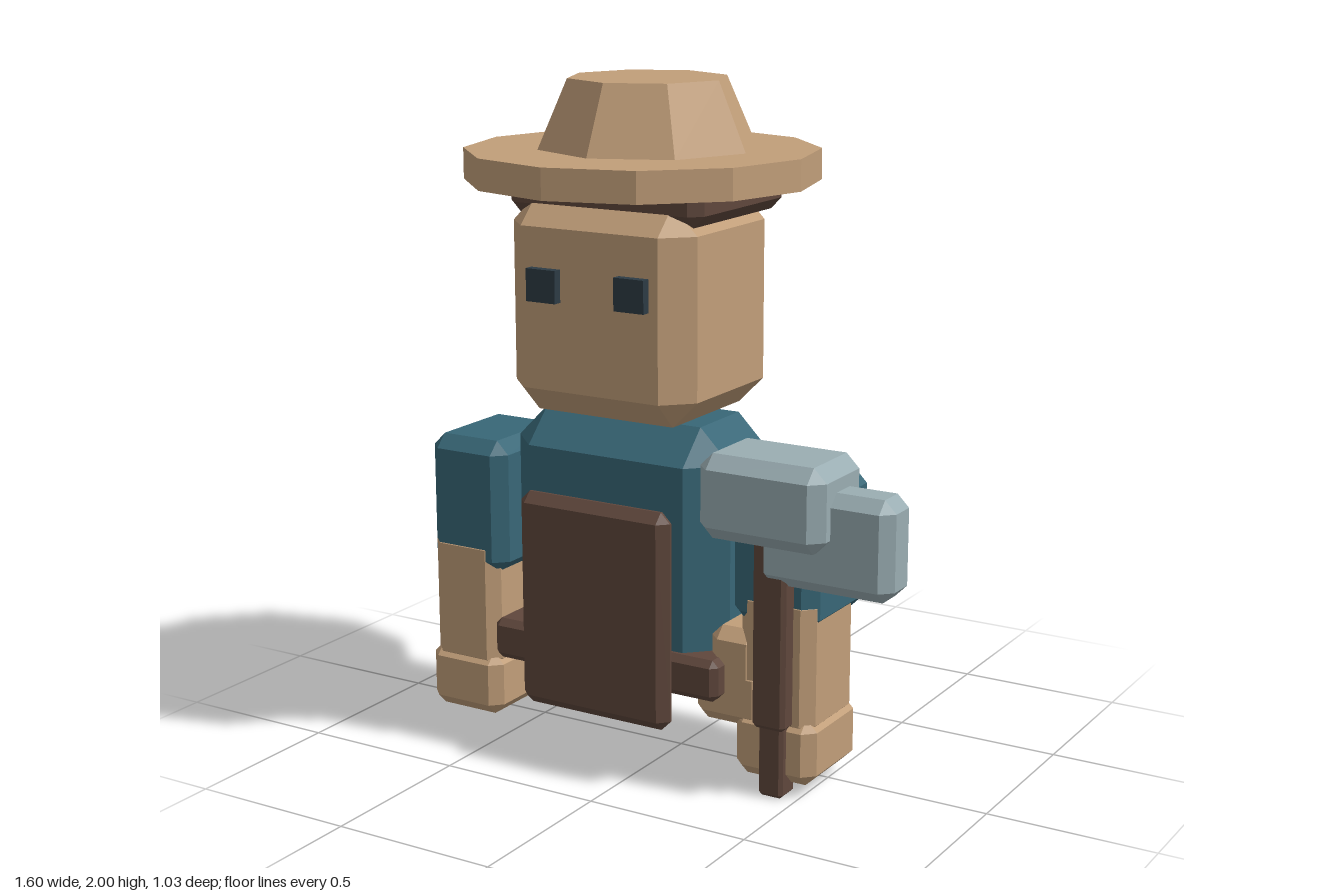
import * as THREE from 'three';
import { ConvexGeometry } from 'three/addons/geometries/ConvexGeometry.js';

const mat = (name, color) => {
  const m = new THREE.MeshStandardMaterial({ color });
  m.name = name;
  return m;
};

// Box with every edge chamfered by b, given as [min, max] ranges
function chamferBox(xr, yr, zr, b) {
  const points = [];
  for (const i of [0, 1]) for (const j of [0, 1]) for (const k of [0, 1]) {
    const corner = [xr[i], yr[j], zr[k]];
    const inward = [i ? -b : b, j ? -b : b, k ? -b : b];
    for (let full = 0; full < 3; full++) {
      points.push(new THREE.Vector3(...corner.map((v, a) => (a === full ? v : v + inward[a]))));
    }
  }
  return new ConvexGeometry(points);
}

export function createModel() {
  const tan = mat('tan', 0xc19e79);
  const teal = mat('teal', 0x386777);
  const brown = mat('darkBrown', 0x5f473c);
  const grey = mat('steelGrey', 0x9aadb2);
  const slate = mat('darkSlate', 0x2d3b44);

  const model = new THREE.Group();
  model.name = 'blacksmith';
  const CX = -0.13; // body centre line

  const add = (name, geometry, material, parent = model) => {
    const mesh = new THREE.Mesh(geometry, material);
    mesh.name = name;
    parent.add(mesh);
    return mesh;
  };
  const block = (name, material, xr, yr, zr, b, parent) =>
    add(name, chamferBox(xr, yr, zr, b), material, parent);
  const group = (name) => {
    const g = new THREE.Group();
    g.name = name;
    model.add(g);
    return g;
  };
  // Faceted frustum standing on y0
  const frustum = (rTop, rBottom, y0, y1, sides, z) => {
    const g = new THREE.CylinderGeometry(rTop, rBottom, y1 - y0, sides).toNonIndexed();
    g.computeVertexNormals();
    return g.translate(CX, (y0 + y1) / 2, z);
  };

  // Hat
  const hat = group('hat');
  add('hatBrim', frustum(0.515, 0.515, 1.71, 1.8, 12, 0), tan, hat);
  add('hatCrown', frustum(0.235, 0.323, 1.8, 2.0, 8, -0.03), tan, hat);
  block('hatBand', brown, [-0.455, 0.19], [1.615, 1.75], [-0.285, 0.228], 0.035, hat);

  // Head and eyes
  const head = group('head');
  block('face', tan, [-0.44, 0.175], [1.045, 1.675], [-0.255, 0.285], 0.08, head);
  for (const s of [-1, 1]) {
    const eye = add('eye', new THREE.BoxGeometry(0.098, 0.095, 0.04), slate, head);
    eye.position.set(CX + s * 0.147, 1.432, 0.293);
  }

  // Torso, belt and apron
  block('torso', teal, [-0.498, 0.23], [0.225, 1.03], [-0.21, 0.21], 0.1);
  block('belt', brown, [-0.52, 0.256], [0.255, 0.38], [-0.24, 0.24], 0.02);
  block('apron', brown, [-0.388, 0.122], [0.155, 0.81], [0.228, 0.296], 0.03);

  // Arms, mirrored about the centre line
  for (const s of [-1, 1]) {
    const arm = group(s < 0 ? 'rightArm' : 'leftArm');
    const span = (inner, outer) => (s < 0 ? [CX - outer, CX - inner] : [CX + inner, CX + outer]);
    block('sleeve', teal, span(0.393, 0.668), [0.49, 0.905], [-0.18, 0.18], 0.04, arm);
    block('forearm', tan, span(0.423, 0.662), [0.18, 0.6], [-0.1, 0.182], 0.035, arm);
    block('hand', tan, span(0.413, 0.673), [0.035, 0.235], [-0.105, 0.192], 0.035, arm);
  }

  // Pouch hung on the belt
  const pouch = group('pouch');
  block('pouchTop', tan, [0.195, 0.36], [0.22, 0.468], [-0.208, 0.185], 0.035, pouch);
  block('pouchBody', tan, [0.147, 0.38], [0.175, 0.36], [-0.213, 0.185], 0.035, pouch);

  // Hammer
  const hammer = group('hammer');
  block('hammerHead', grey, [0.225, 0.62], [0.765, 1.01], [0.038, 0.312], 0.04, hammer);
  block('hammerPeen', grey, [0.385, 0.8], [0.642, 0.933], [0.1, 0.248], 0.035, hammer);
  block('handle', brown, [0.37, 0.475], [0.21, 0.85], [0.12, 0.235], 0.012, hammer);
  block('handleGrip', brown, [0.384, 0.462], [0, 0.225], [0.135, 0.217], 0.01, hammer);

  return model;
}
